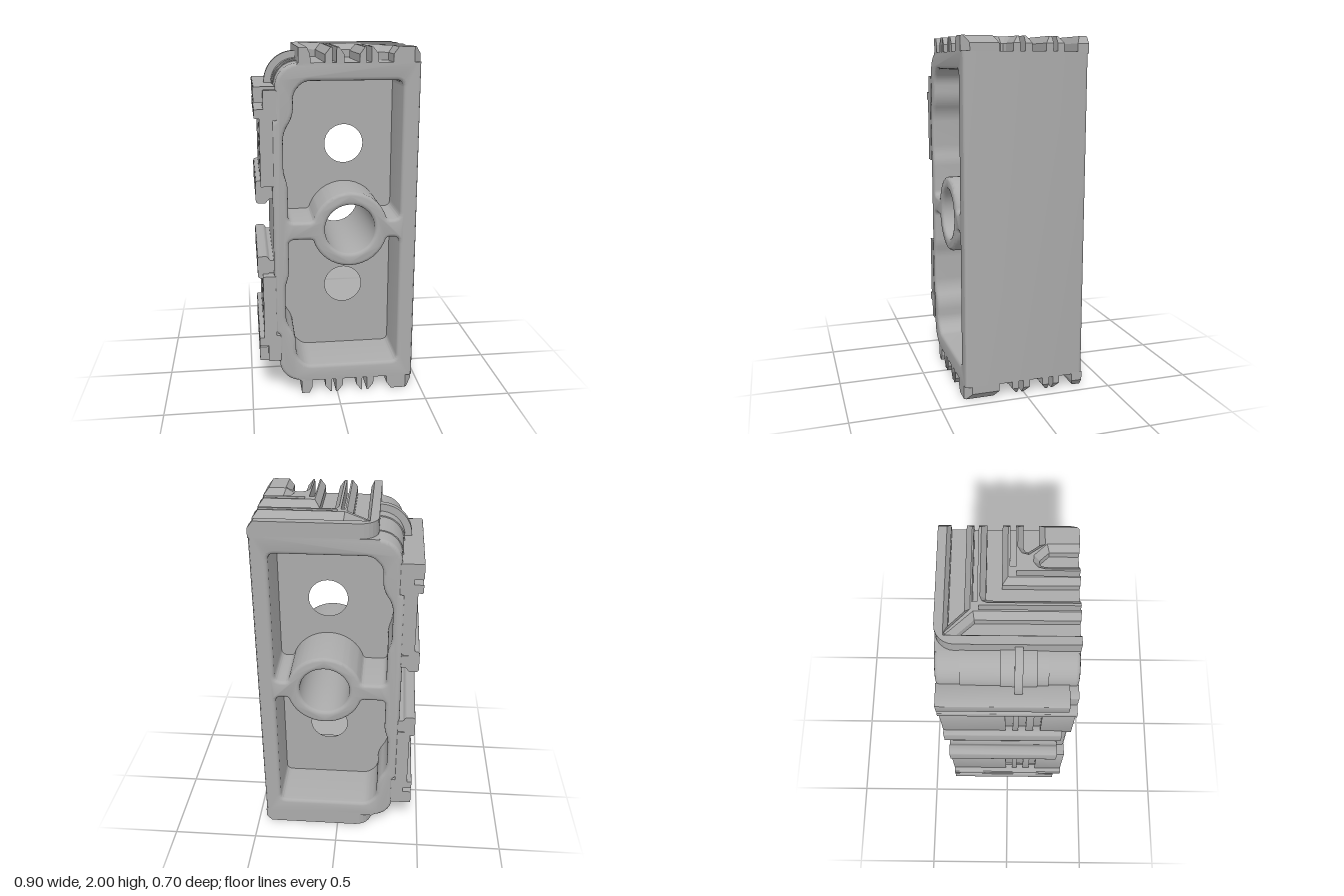
import * as THREE from 'three';
import { toCreasedNormals } from 'three/addons/utils/BufferGeometryUtils.js';

const FLOOR = 1.92, SHOULDER = 1.962, TOP = 2, HALF = 0.35;
const BORE_X = 0.072;

// Mirror a geometry about y = 1 and restore the winding
function mirrorY(geo) {
  const g = geo.clone();
  g.scale(1, -1, 1).translate(0, 2, 0);
  for (const name of ['position', 'normal']) {
    const a = g.attributes[name];
    for (let i = 0; i < a.count; i += 3) {
      const b = [a.getX(i + 1), a.getY(i + 1), a.getZ(i + 1)];
      a.setXYZ(i + 1, a.getX(i + 2), a.getY(i + 2), a.getZ(i + 2));
      a.setXYZ(i + 2, ...b);
    }
  }
  return g;
}

// Ridge between grooves. Points are [x, z, flare of the edge that starts here]
function ridge(pts) {
  const n = pts.length, pos = [];
  const normal = i => {
    const a = pts[(i + n) % n], b = pts[(i + 1) % n];
    const dx = b[0] - a[0], dz = b[1] - a[1], l = Math.hypot(dx, dz);
    return [dz / l, -dx / l, a[2]];
  };
  const base = pts.map((p, i) => {
    const [ax, az, da] = normal(i - 1), [bx, bz, db] = normal(i);
    const det = ax * bz - az * bx;
    if (Math.abs(det) < 0.05) return [p[0] + bx * db, p[1] + bz * db];
    return [p[0] + (da * bz - az * db) / det, p[1] + (ax * db - da * bx) / det];
  });
  const rings = [[base, FLOOR - 0.01], [base, SHOULDER], [pts, TOP]];
  for (let k = 0; k < 2; k++) {
    const [lo, y0] = rings[k], [hi, y1] = rings[k + 1];
    for (let i = 0; i < n; i++) {
      const j = (i + 1) % n;
      const A = [lo[i][0], y0, lo[i][1]], B = [lo[j][0], y0, lo[j][1]];
      const C = [hi[i][0], y1, hi[i][1]], D = [hi[j][0], y1, hi[j][1]];
      pos.push(...B, ...A, ...C, ...B, ...C, ...D);
    }
  }
  const flat = pts.map(p => new THREE.Vector2(p[0], p[1]));
  for (const [a, b, c] of THREE.ShapeUtils.triangulateShape(flat, [])) {
    const up = (pts[b][1] - pts[a][1]) * (pts[c][0] - pts[a][0]) - (pts[b][0] - pts[a][0]) * (pts[c][1] - pts[a][1]);
    for (const i of up > 0 ? [a, b, c] : [a, c, b]) pos.push(pts[i][0], TOP, pts[i][1]);
  }
  const g = new THREE.BufferGeometry();
  g.setAttribute('position', new THREE.Float32BufferAttribute(pos, 3));
  g.computeVertexNormals();
  return g;
}

// Closed path with every corner rounded; points are [x, y, radius]
function rounded(pts, path) {
  const n = pts.length;
  pts.forEach(([x, y, r], i) => {
    const toward = q => {
      const d = Math.hypot(q[0] - x, q[1] - y);
      return [x + (q[0] - x) * r / d, y + (q[1] - y) * r / d];
    };
    const a = toward(pts[(i + n - 1) % n]), b = toward(pts[(i + 1) % n]);
    if (i) path.lineTo(...a); else path.moveTo(...a);
    path.quadraticCurveTo(x, y, ...b);
  });
  path.closePath();
  return path;
}

const circle = (x, y, r) => new THREE.Path().absarc(x, y, r, 0, Math.PI * 2, true);

// Pocket outline that wraps around the bore tube
function pocket(flip) {
  const m = y => flip ? 2 - y : y;
  const rib = 1.052, r = 0.215, a0 = Math.asin(0.052 / r);
  const arc = [];
  for (let i = 0; i <= 16; i++) {
    const a = a0 + (Math.PI - 2 * a0) * i / 16;
    arc.push([BORE_X + r * Math.cos(a), 1 + r * Math.sin(a), i % 16 ? 0.004 : 0.02]);
  }
  const pts = [[0.355, rib, 0.04], ...arc, [-0.275, rib, 0.035], [-0.275, 1.26, 0.03], [-0.297, 1.33, 0.03],
    [-0.297, 1.55, 0.05], [-0.24, 1.64, 0.05], [-0.24, 1.765, 0.04], [-0.18, 1.825, 0.035], [0.355, 1.825, 0.04]];
  return rounded(pts.map(([x, y, q]) => [x, m(y), q]), new THREE.Path());
}

function bodyGeometry() {
  const s = new THREE.Shape();
  s.moveTo(0.45, 0.08).lineTo(0.45, FLOOR).lineTo(-0.21, FLOOR);
  s.absarc(-0.21, 1.795, 0.125, Math.PI / 2, Math.PI, false);
  s.lineTo(-0.335, 1.62).lineTo(-0.358, 1.6).lineTo(-0.358, 0.4).lineTo(-0.335, 0.38).lineTo(-0.335, 0.205);
  s.absarc(-0.21, 0.205, 0.125, Math.PI, Math.PI * 1.5, false);
  s.closePath();
  s.holes.push(pocket(false), pocket(true), circle(BORE_X, 1, 0.142));
  const b = 0.02;
  const g = new THREE.ExtrudeGeometry(s, { depth: 2 * (HALF - b), curveSegments: 20, bevelSize: b, bevelOffset: -b, bevelThickness: b, bevelSegments: 3 });
  g.translate(0, 0, b - HALF);
  // Keep the ends square where the grooved caps join
  const p = g.attributes.position;
  for (let i = 0; i < p.count; i++) {
    if (p.getX(i) < -0.215) continue;
    if (p.getY(i) > 1.89) p.setY(i, FLOOR);
    if (p.getY(i) < 0.11) p.setY(i, 0.08);
  }
  return toCreasedNormals(g, 0.6);
}

function webGeometry() {
  const s = new THREE.Shape();
  s.moveTo(-0.32, 0.15).lineTo(-0.32, 0.26).lineTo(-0.32, 1.74).lineTo(-0.2, 1.85).lineTo(0.4, 1.85).lineTo(0.4, 0.15);
  s.closePath();
  s.holes.push(circle(BORE_X, 1, 0.17), circle(BORE_X, 1.437, 0.112), circle(BORE_X, 0.563, 0.112));
  const g = new THREE.ExtrudeGeometry(s, { depth: 0.09, bevelEnabled: false, curveSegments: 24 });
  return toCreasedNormals(g.translate(0, 0, -0.045), 0.6);
}

// Profile in x, y run along z
function rail(pts, z0, z1) {
  const s = rounded(pts, new THREE.Shape());
  const g = new THREE.ExtrudeGeometry(s, { depth: z1 - z0, bevelEnabled: false, curveSegments: 4 });
  return toCreasedNormals(g.translate(0, 0, z0), 0.6);
}
const bar = (x0, x1, y0, y1, z0, z1, r = 0.008) => rail([[x0, y0, r], [x1, y0, r], [x1, y1, r], [x0, y1, r]], z0, z1);

// Quarter ring over the rounded shoulder
function band(radius, z0, z1) {
  const s = new THREE.Shape();
  s.absarc(-0.21, 1.795, radius, Math.PI / 2, Math.PI, false);
  s.absarc(-0.21, 1.795, 0.1, Math.PI, Math.PI / 2, true);
  const g = new THREE.ExtrudeGeometry(s, { depth: z1 - z0, bevelEnabled: false, curveSegments: 16 });
  return toCreasedNormals(g.translate(0, 0, z0), 0.6);
}

export function createModel() {
  const group = new THREE.Group();
  const grey = new THREE.MeshStandardMaterial({ color: 0xababab });
  grey.name = 'grey';
  const add = (name, geo, mirrored = true) => {
    for (const g of mirrored ? [geo, mirrorY(geo)] : [geo]) {
      const mesh = new THREE.Mesh(g, grey);
      mesh.name = name;
      group.add(mesh);
    }
  };

  add('body', bodyGeometry(), false);
  add('web', webGeometry(), false);

  // Nested L-shaped ridges on both ends
  const corner = [0, 1, 2, 3, 4, 5, 6].map(i => {
    const a = i / 6 * Math.PI / 2;
    return [-0.11 - 0.1 * Math.cos(a), -0.25 - 0.1 * Math.sin(a), 0];
  });
  add('outerRidge', ridge([[-0.21, 0.35, 0], ...corner, [0.42, -0.35, 0.03], [0.42, -0.305, 0.018],
    [-0.165, -0.305, 0.018], [-0.165, 0.35, 0]]));
  add('middleRidge', ridge([[-0.04, 0.35, 0.03], [-0.04, -0.165, 0.025], [-0.16, -0.293, 0], [-0.152, -0.3, 0.025],
    [-0.03, -0.18, 0.03], [0.42, -0.18, 0.03], [0.42, -0.172, 0], [0.01, -0.172, 0], [0.01, -0.148, 0], [0.42, -0.148, 0.03],
    [0.42, -0.135, 0.028], [0.04, -0.135, 0.028], [0.015, -0.125, 0.028], [0.005, -0.1, 0.028], [0.005, 0.35, 0],
    [-0.008, 0.35, 0], [-0.008, -0.14, 0], [-0.031, -0.14, 0], [-0.031, 0.35, 0]]));
  add('innerRidge', ridge([[0.143, 0.35, 0.028], [0.143, -0.002, 0.028], [0.42, -0.002, 0.03], [0.42, 0.009, 0], [0.2, 0.009, 0],
    [0.2, 0.037, 0], [0.42, 0.037, 0.03], [0.42, 0.045, 0.03], [0.31, 0.045, 0.03], [0.275, 0.065, 0.03], [0.265, 0.1, 0.028],
    [0.322, 0.18, 0.028], [0.42, 0.18, 0.03], [0.42, 0.34, 0], [0.41, 0.35, 0], [0.325, 0.35, 0.028], [0.325, 0.19, 0.028],
    [0.262, 0.125, 0.03], [0.225, 0.122, 0.03], [0.197, 0.145, 0.03], [0.187, 0.18, 0.03], [0.187, 0.35, 0],
    [0.178, 0.35, 0], [0.178, 0.04, 0], [0.15, 0.04, 0], [0.15, 0.35, 0]]));

  // Shoulder bands and stop fin
  add('shoulderBand', band(0.13, -0.23, 0.2));
  add('shoulderCollar', band(0.136, -0.035, 0.145));
  add('shoulderFin', band(0.175, 0.035, 0.075));

  // Side clips, rails and panels
  add('clipBar', bar(-0.45, -0.327, 1.71, 1.795, -HALF, 0.305));
  add('clipNeck', bar(-0.4, -0.327, 1.62, 1.78, -HALF, HALF));
  add('clipRail', bar(-0.45, -0.34, 1.632, 1.68, -HALF, HALF));
  add('hookBar', rail([[-0.45, 1.155, 0.02], [-0.395, 1.155, 0.01], [-0.38, 1.18, 0.01], [-0.35, 1.18, 0.01],
    [-0.35, 1.255, 0.01], [-0.39, 1.255, 0.008], [-0.395, 1.285, 0.01], [-0.45, 1.285, 0.02]], -HALF, 0.3));
  add('sidePanel', bar(-0.395, -0.35, 1.26, 1.635, -HALF, HALF, 0.002));
  for (const [z0, z1] of [[-HALF, -0.01], [0.03, 0.06], [0.1, 0.14], [0.18, HALF]]) {
    add('panelStrip', bar(-0.422, -0.39, 1.26, 1.635, z0, z1, 0.002));
  }
  return group;
}
